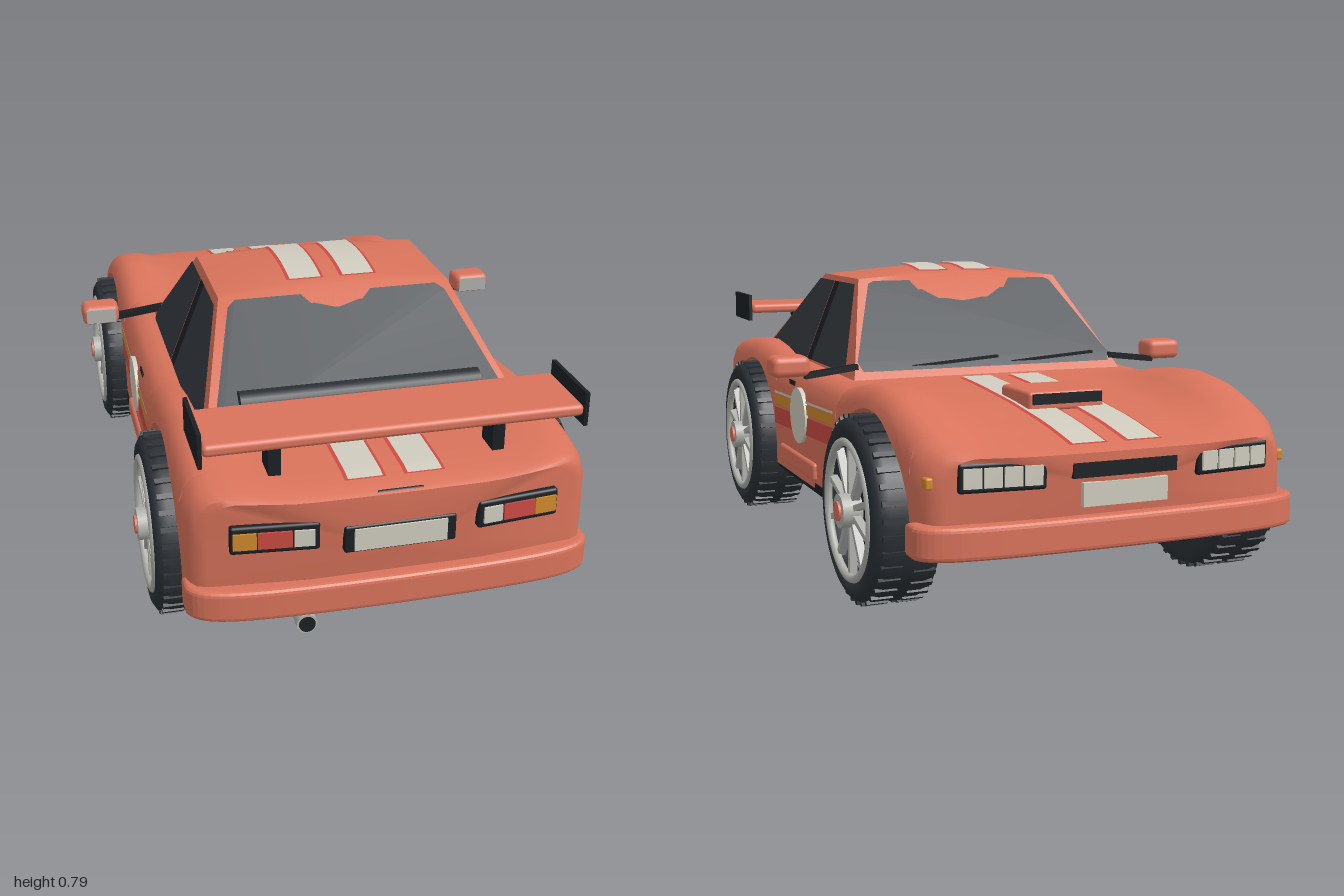
import * as THREE from 'three';
import { toCreasedNormals } from 'three/addons/utils/BufferGeometryUtils.js';
import { RoundedBoxGeometry } from 'three/addons/geometries/RoundedBoxGeometry.js';

const paint = (name, color) => Object.assign(new THREE.MeshStandardMaterial({ color }), { name });
const coral = paint('coral paint', 0xd9735b), glass = paint('dark glass', 0x343a40);
const black = paint('black trim', 0x1c2024), rubber = paint('tyre rubber', 0x2b3035);
const cream = paint('cream', 0xcfccbe), metal = paint('pale metal', 0xb0b0ac);
const amber = paint('amber', 0xcf8a2c), red = paint('red', 0xcc4a43);

// Piecewise linear lookup in [z, value] pairs
function at(table, z) {
  for (let i = 1; i < table.length; i++) {
    const [a, u] = table[i - 1], [b, v] = table[i];
    if (z <= b) return THREE.MathUtils.lerp(u, v, Math.max(0, (z - a) / (b - a)));
  }
  return table[table.length - 1][1];
}
const fender = [[-.97, .42], [-.87, .46], [-.8, .488], [-.7, .518], [-.58, .533], [-.45, .523], [-.3, .497],
  [0, .5], [.3, .505], [.45, .525], [.6, .535], [.75, .525], [.9, .508], [.97, .495]];
const deck = [[-.97, .418], [-.8, .45], [-.6, .474], [-.4, .49], [-.2, .5], [.7, .505], [.9, .502], [.97, .49]];
const halfWidth = [[-.98, .45], [-.93, .475], [-.87, .487], [-.75, .495], [-.3, .492], [0, .497], [.8, .498], [.93, .492], [.98, .47]];
const WHEELS = [-.59, .565], SILL = .19;

function add(parent, name, geo, mat, x = 0, y = 0, z = 0) {
  const m = new THREE.Mesh(geo, mat);
  m.name = name;
  m.position.set(x, y, z);
  parent.add(m);
  return m;
}
const box = (g, name, mat, w, h, d, x, y, z) => add(g, name, new THREE.BoxGeometry(w, h, d), mat, x, y, z);
const soft = (g, name, mat, w, h, d, x, y, z, r = .01) => add(g, name, new RoundedBoxGeometry(w, h, d, 3, r), mat, x, y, z);
const rod = (g, name, mat, r, len, x, y, z) => add(g, name, new THREE.CylinderGeometry(r, r, len, 24), mat, x, y, z);

function meshGeo(pos, idx) {
  const geo = new THREE.BufferGeometry();
  geo.setAttribute('position', new THREE.Float32BufferAttribute(pos, 3));
  geo.setIndex(idx);
  return toCreasedNormals(geo, .7);
}

// Flat convex plate that faces away from the middle of the car, lifted off its surface
function plate(g, name, mat, pts, lift = .005) {
  const v = pts.map(p => new THREE.Vector3(...p));
  const n = v[1].clone().sub(v[0]).cross(v[2].clone().sub(v[0])).normalize();
  const mid = v.reduce((s, p) => s.add(p), new THREE.Vector3()).divideScalar(v.length);
  if (n.dot(mid.sub(new THREE.Vector3(0, .4, .2))) < 0) { v.reverse(); n.negate(); }
  const idx = [];
  for (let i = 2; i < v.length; i++) idx.push(0, i - 1, i);
  return add(g, name, meshGeo(v.flatMap(p => p.addScaledVector(n, lift).toArray()), idx), mat);
}

// Body shell lofted along z; the lower edge rises over the wheels
function bodyShell() {
  const stations = [[-.985, SILL], [-.97, SILL], [-.94, SILL], [-.9, SILL]];
  WHEELS.forEach((zc, k) => {
    stations.push([zc - .278, SILL]);
    for (let i = 0; i <= 28; i++) {
      const t = Math.PI * (1 - i / 28);
      stations.push([zc + .278 * Math.cos(t), .235 + .245 * Math.sin(t)]);
    }
    stations.push([zc + .278, SILL]);
    if (!k) for (let i = 1; i < 8; i++) stations.push([-.312 + .599 * i / 8, SILL]);
  });
  stations.push([.9, SILL], [.94, SILL], [.97, SILL], [.985, SILL]);
  const pos = [], idx = [];
  let n = 0;
  stations.forEach(([z, lo], s) => {
    const f = at(fender, z), h = at(deck, z), w = at(halfWidth, z), half = [];
    for (const t of [0, .35, .6, .78, .9, .97, 1]) {
      const y = lo + (f - lo) * t, k = THREE.MathUtils.clamp(1 - (f - y) / .08, 0, 1);
      half.push([w - .065 * (1 - Math.sqrt(1 - k * k)), y]);
    }
    half.push([w - .11, f], [w - .16, f + (h - f) * .4], [w - .21, f + (h - f) * .85], [w - .26, h]);
    const loop = [...half, [0, h], ...half.map(([x, y]) => [-x, y]).reverse()];
    n = loop.length;
    const shrink = s === 0 || s === stations.length - 1 ? .955 : 1;
    for (const [x, y] of loop) {
      const a = Math.abs(z), out = a > .87 ? .87 + (a - .87) * (1 - .5 * (x / .5) ** 4) : a;
      pos.push(x * shrink, .33 + (y - .33) * shrink, Math.sign(z) * out);
    }
    if (s) for (let j = 0; j < n; j++) {
      const a = (s - 1) * n + j, b = (s - 1) * n + (j + 1) % n;
      idx.push(a, b, b + n, a, b + n, a + n);
    }
  });
  const c = pos.length / 3, last = c - n;
  pos.push(0, .33, -.985, 0, .33, .985);
  for (let j = 0; j < n; j++) {
    const k = (j + 1) % n;
    idx.push(c, k, j, c + 1, last + j, last + k);
  }
  return meshGeo(pos, idx);
}

// Cabin: tapered frame with a crowned roof
function cabinFrame() {
  const pos = [], idx = [], N = 10;
  for (let i = 0; i <= N; i++) for (let j = 0; j <= N; j++) {
    const u = i / N * 2 - 1, v = j / N * 2 - 1;
    pos.push(.31 * u, .757 + .03 * (1 - u * u) * (1 - .6 * v * v), .205 + .165 * v);
    if (i && j) {
      const a = (i - 1) * (N + 1) + j - 1, b = a + N + 1;
      idx.push(a, a + 1, b + 1, a, b + 1, b);
    }
  }
  const rim = [];
  for (let i = 0; i < N; i++) rim.push(i * (N + 1));
  for (let j = 0; j < N; j++) rim.push(N * (N + 1) + j);
  for (let i = N; i > 0; i--) rim.push(i * (N + 1) + N);
  for (let j = N; j > 0; j--) rim.push(j);
  const start = pos.length / 3;
  for (const r of rim) {
    const x = pos[r * 3] / .31, v = (pos[r * 3 + 2] - .205) / .165;
    pos.push(x * (.415 + .005 * v), .485, .26 + .485 * v);
  }
  rim.forEach((r, k) => {
    const q = (k + 1) % rim.length;
    idx.push(r, rim[q], start + q, r, start + q, start + k);
  });
  return meshGeo(pos, idx);
}

function bumper() {
  const s = new THREE.Shape();
  s.moveTo(-.49, .89);
  s.lineTo(-.49, .92);
  s.bezierCurveTo(-.47, .975, -.38, .985, 0, .988);
  s.bezierCurveTo(.38, .985, .47, .975, .49, .92);
  s.lineTo(.49, .89);
  s.closePath();
  const geo = new THREE.ExtrudeGeometry(s, { depth: .056, bevelSize: .012, bevelThickness: .012, bevelSegments: 3, curveSegments: 16 });
  return geo.rotateX(Math.PI / 2);
}

// Wheel with its axle along y, outer face at +y
function makeWheel() {
  const g = new THREE.Group();
  const profile = [[.165, -.08], [.205, -.085], [.222, -.075], [.23, -.05], [.23, .05], [.222, .075], [.205, .085], [.178, .083], [.168, .04]];
  add(g, 'tyre', new THREE.LatheGeometry(profile.map(p => new THREE.Vector2(...p)), 48), rubber);
  for (let i = 0; i < 72; i++) {
    const a = i / 72 * Math.PI * 2, b = box(g, 'treadBlock', rubber, .01, .055, .013, Math.cos(a) * .23, i % 2 ? .042 : -.042, Math.sin(a) * .23);
    b.rotation.y = -a;
  }
  rod(g, 'wheelWell', black, .17, .11, 0, -.02, 0);
  add(g, 'rim', new THREE.TorusGeometry(.168, .011, 8, 48).rotateX(Math.PI / 2), metal, 0, .08, 0);
  for (let i = 0; i < 10; i++) {
    const a = i / 10 * Math.PI * 2;
    box(g, 'spoke', metal, .13, .02, .014, Math.cos(a) * .1, .07, Math.sin(a) * .1).rotation.y = -a;
  }
  rod(g, 'hub', metal, .042, .05, 0, .08, 0);
  rod(g, 'hubCap', coral, .024, .05, 0, .086, 0);
  return g;
}

// Ribbons that follow the hood, roof or rear deck
function ribbon(g, name, z0, z1, height) {
  for (const s of [-1, 1]) for (const [w, lift, mat] of [[.05, .003, red], [.042, .006, cream]]) {
    const pos = [], idx = [], N = 12;
    for (let i = 0; i <= N; i++) {
      const z = z0 + (z1 - z0) * i / N, y = height(z) + lift;
      pos.push(s * .072 - w, y, z, s * .072 + w, y, z);
      if (i) idx.push(2 * i - 2, 2 * i, 2 * i - 1, 2 * i - 1, 2 * i, 2 * i + 1);
    }
    add(g, name, meshGeo(pos, idx), mat);
  }
}

export function createModel() {
  const car = new THREE.Group();
  car.name = 'sportsCar';
  add(car, 'bodyShell', bodyShell(), coral);
  add(car, 'cabinFrame', cabinFrame(), coral);
  add(car, 'rearBumper', bumper(), coral, 0, .255, 0);
  add(car, 'frontBumper', bumper(), coral, 0, .255, 0).rotation.y = Math.PI;
  box(car, 'floor', black, .74, .02, 1.68, 0, .168, 0);
  box(car, 'innerTub', black, .72, .3, .45, 0, .33, .485);

  // Windows
  plate(car, 'windscreen', glass, [[-.375, .515, -.197], [.375, .515, -.197], [.385, .54, -.174], [.288, .74, .022], [.27, .748, .03], [-.27, .748, .03], [-.288, .74, .022], [-.385, .54, -.174]]);
  plate(car, 'rearWindow', glass, [[-.37, .51, .71], [.37, .51, .71], [.382, .53, .68], [.292, .735, .4], [.27, .748, .383], [-.27, .748, .383], [-.292, .735, .4], [-.382, .53, .68]], .008);
  const rail = y => .418 - .108 * (y - .485) / .272;
  for (const s of [-1, 1]) {
    const side = pts => pts.map(([z, y]) => [s * rail(y), y, z]);
    plate(car, 'doorWindow', glass, side([[.18, .51], [-.13, .51], [-.14, .53], [.035, .74], [.18, .74]]), .007);
    plate(car, 'quarterWindow', glass, side([[.23, .51], [.66, .51], [.65, .53], [.38, .74], [.23, .74]]), .007);
    plate(car, 'doorPillar', black, side([[.23, .51], [.18, .51], [.18, .74], [.23, .74]]), .006);
  }
  rod(car, 'rearWindowRoll', rubber, .033, .62, 0, .575, .63).rotation.z = Math.PI / 2;
  for (const x of [-.2, .1]) {
    const w = box(car, 'wiper', black, .26, .008, .008, x, .535, -.188);
    w.rotation.z = -.07;
  }
  box(car, 'rearWiper', black, .28, .008, .012, .02, .535, .692).rotation.z = -.05;

  // Stripes and hood scoop
  ribbon(car, 'hoodStripe', -.94, -.27, z => at(deck, z));
  ribbon(car, 'deckStripe', .76, .93, z => at(deck, z));
  ribbon(car, 'roofStripe', .06, .34, z => .787 - .018 * ((z - .205) / .165) ** 2);
  soft(car, 'hoodScoop', coral, .21, .05, .17, 0, .487, -.597);
  box(car, 'scoopIntake', black, .19, .026, .012, 0, .494, -.683);

  // Wing
  soft(car, 'wing', coral, .91, .03, .2, 0, .622, .85, .012);
  for (const s of [-1, 1]) {
    box(car, 'wingEndPlate', black, .01, .085, .2, s * .46, .625, .85);
    box(car, 'wingSupport', black, .03, .11, .07, s * .275, .555, .84);
  }

  // Tail and nose details
  for (const s of [-1, 1]) {
    const lamp = new THREE.Group();
    lamp.name = 'tailLamp';
    lamp.position.set(s * .295, .393, .958);
    lamp.rotation.y = s * .1;
    soft(lamp, 'lampHousing', black, .21, .072, .03, 0, 0, 0, .008);
    for (const [mat, x, w] of [[amber, .07, .055], [red, 0, .08], [cream, -.068, .048]])
      box(lamp, 'lampLens', mat, w, .042, .008, s * x, 0, .016);
    car.add(lamp);
    const head = new THREE.Group();
    head.name = 'headLamp';
    head.position.set(s * .3, .372, -.955);
    head.rotation.y = -s * .1;
    soft(head, 'lampHousing', black, .21, .07, .03, 0, 0, 0, .008);
    for (let i = 0; i < 4; i++) box(head, 'lampLens', cream, .043, .046, .008, (i - 1.5) * .048, 0, -.016);
    car.add(head);
    soft(car, 'blinker', amber, .02, .028, .03, s * .463, .36, -.917, .006);
  }
  soft(car, 'rearPlateFrame', black, .272, .07, .024, 0, .375, .976, .006);
  box(car, 'rearPlate', cream, .225, .056, .008, 0, .375, .989);
  soft(car, 'trunkHandle', black, .12, .02, .03, 0, .479, .965, .008);
  box(car, 'trunkBadge', metal, .06, .012, .008, .168, .457, .97);
  box(car, 'frontGrille', black, .27, .035, .024, 0, .375, -.976);
  box(car, 'frontPlate', cream, .22, .056, .02, 0, .318, -.98);
  rod(car, 'exhaust', metal, .025, .1, -.225, .162, .94).rotation.x = Math.PI / 2;
  rod(car, 'exhaustBore', black, .02, .004, -.225, .162, .991).rotation.x = Math.PI / 2;

  // Sides: skirts, livery bands, roundels and mirrors
  for (const s of [-1, 1]) {
    soft(car, 'sideSkirt', coral, .03, .05, .36, s * .492, .237, .04);
    box(car, 'sillStrip', black, .04, .026, .58, s * .475, .192, -.01);
    const band = (name, mat, y0, y1, rise) => plate(car, name, mat,
      [[s * .498, y0, .29], [s * .498, y1, .29], [s * .495, y1 + rise, -.31], [s * .495, y0 + rise, -.31]], .003);
    band('creamBand', cream, .405, .412, .022);
    band('amberBand', amber, .372, .4, .025);
    band('redBand', red, .312, .362, .028);
    rod(car, 'roundel', cream, .08, .012, s * .499, .375, .015).rotation.z = Math.PI / 2;
    box(car, 'doorHandle', black, .01, .014, .06, s * .486, .455, .12);
    soft(car, 'mirrorHousing', coral, .105, .056, .08, s * .573, .54, -.155, .018);
    box(car, 'mirrorGlass', metal, .085, .04, .006, s * .573, .54, -.115);
    const arm = box(car, 'mirrorArm', black, .15, .016, .025, s * .46, .522, -.175);
    arm.rotation.z = -s * .12;
  }

  for (const s of [-1, 1]) for (const z of WHEELS) {
    const w = makeWheel();
    w.name = z < 0 ? 'frontWheel' : 'rearWheel';
    w.position.set(s * .465, .235, z);
    w.rotation.z = -s * Math.PI / 2;
    car.add(w);
  }
  return car;
}
